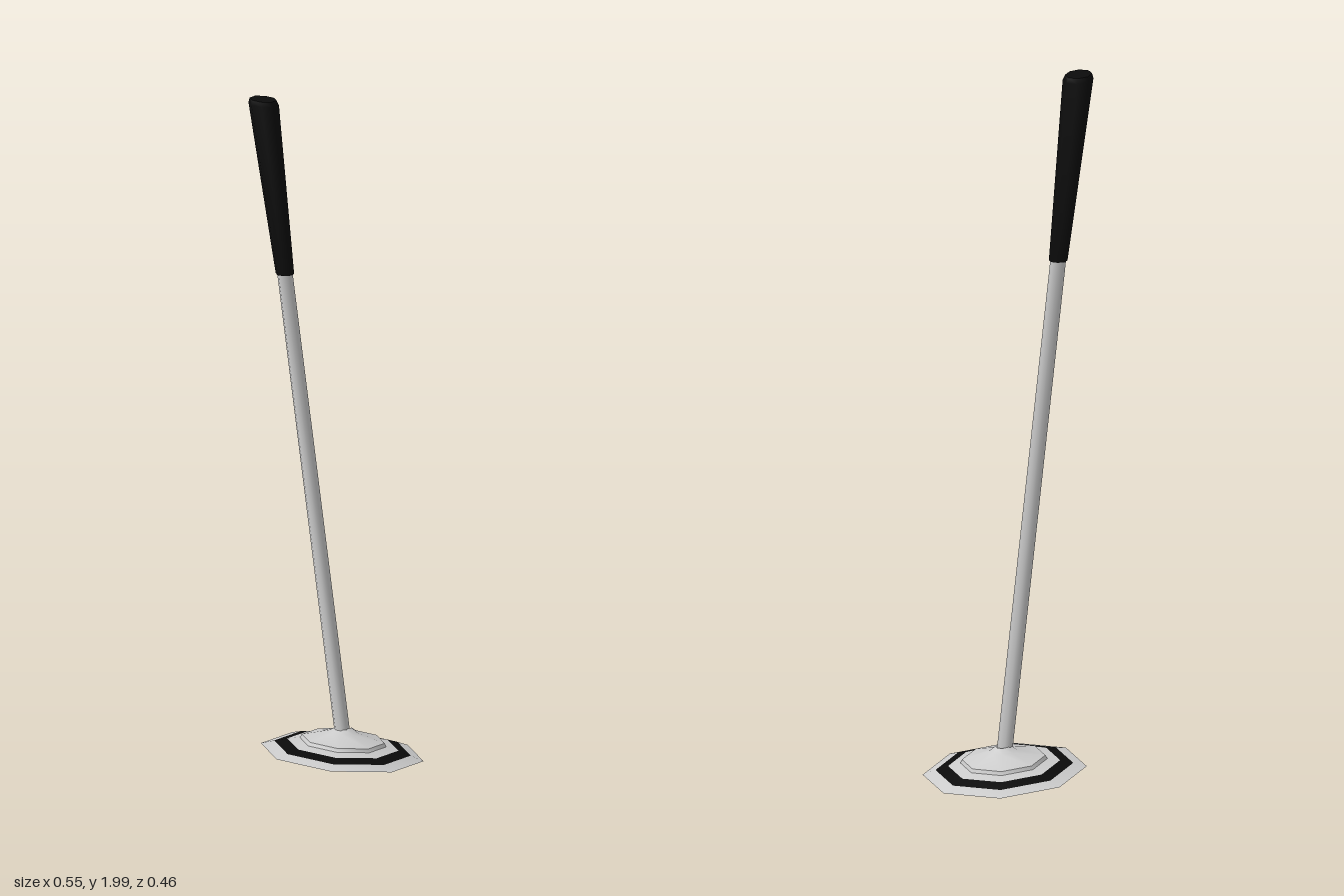
import * as THREE from 'three';
import { toCreasedNormals } from 'three/addons/utils/BufferGeometryUtils.js';

const SIDES = 8;
const LEAN = -0.145; // sideways drift of the shaft per unit of height
const BASE_X = 0.043; // centre of the foot

const grey = new THREE.MeshStandardMaterial({ color: 0xcccccc });
const black = new THREE.MeshStandardMaterial({ color: 0x0b0b0b });

// Octagonal turned part from [radius, height] pairs, listed bottom to top
function turned(name, profile, material, lean = 0, topSlope = 0) {
  const points = profile.map(([r, y]) => new THREE.Vector2(r, y));
  let geometry = new THREE.LatheGeometry(points, SIDES);
  geometry = toCreasedNormals(geometry, Math.PI / 3.5);
  const pos = geometry.attributes.position;
  const low = profile[0][1];
  const high = profile[profile.length - 1][1];
  // Lean the column while its cross-sections stay nearly level
  for (let i = 0; i < pos.count; i++) {
    const x = pos.getX(i);
    const y = pos.getY(i);
    pos.setX(i, x + lean * (y - 0.09));
    pos.setY(i, y - topSlope * x * (y - low) / (high - low));
  }
  const mesh = new THREE.Mesh(geometry, material);
  mesh.name = name;
  return mesh;
}

export function createModel() {
  const model = new THREE.Group();
  model.name = 'plungerStick';

  // Shallow tilted foot, made of stacked octagonal rings
  const foot = new THREE.Group();
  foot.name = 'foot';
  foot.position.set(BASE_X, 0.028, 0);
  foot.rotation.z = -0.1;
  foot.add(
    turned('footRim', [[0, 0], [0.23, 0], [0.193, 0.012]], grey),
    turned('footBand', [[0.193, 0.012], [0.157, 0.022]], black),
    turned('footStep', [[0.157, 0.022], [0.122, 0.029], [0.117, 0.039]], grey),
    turned('footCap', [[0.117, 0.039], [0.04, 0.06], [0.021, 0.073]], grey),
  );
  model.add(foot);

  // Leaning shaft and its flared grip
  const column = new THREE.Group();
  column.name = 'column';
  column.position.x = BASE_X;
  column.add(
    turned('shaft', [[0.022, 0.07], [0.022, 1.5]], grey, LEAN),
    turned('grip', [[0, 1.47], [0.026, 1.47], [0.043, 1.982], [0.038, 1.996], [0, 1.996]], black, LEAN, 0.1),
  );
  model.add(column);

  return model;
}
